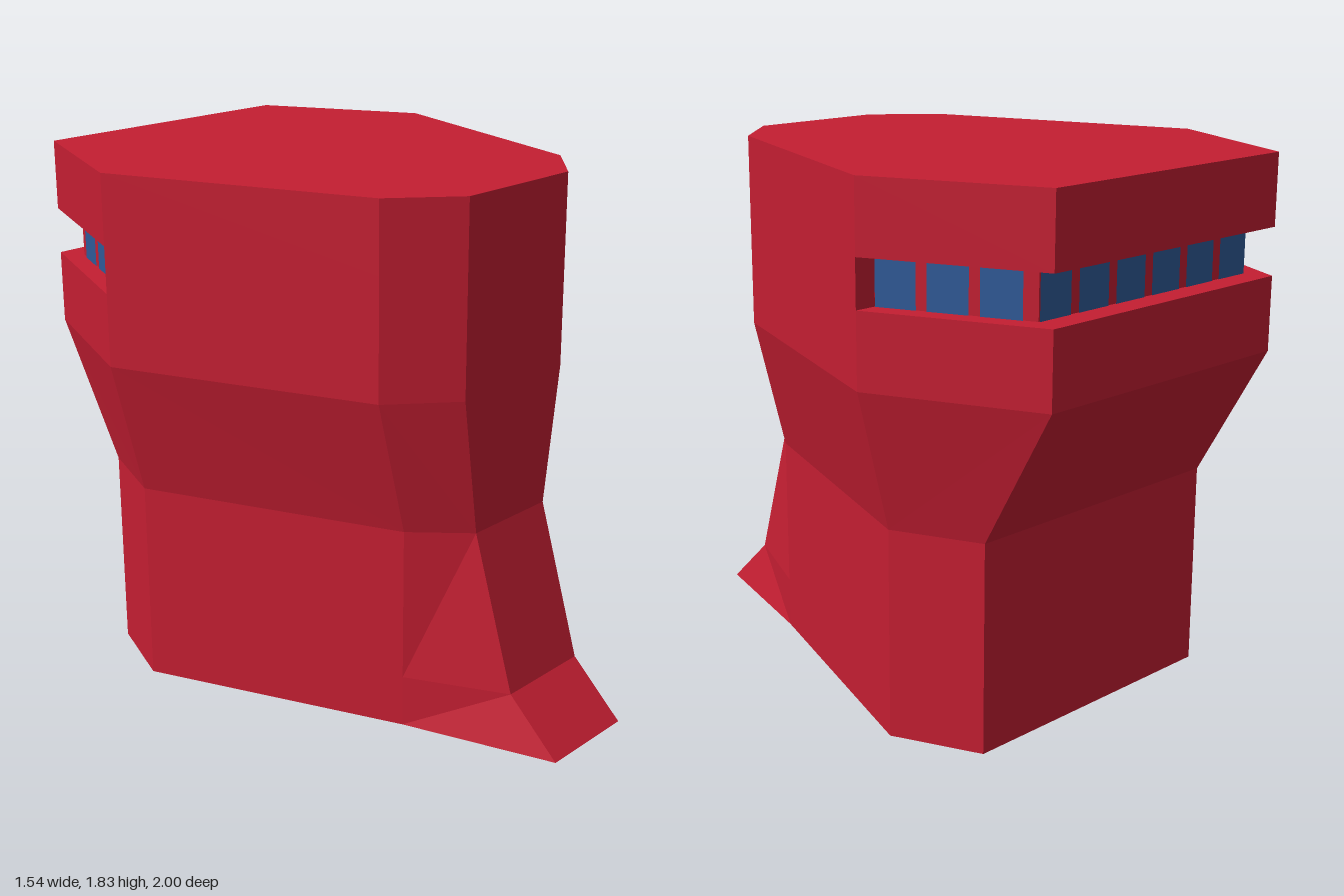
import * as THREE from 'three';

const red = new THREE.MeshStandardMaterial({ color: 0xc41e32, flatShading: true });
const blue = new THREE.MeshStandardMaterial({ color: 0x2f5a98 });

// Completes a half outline [x, z] (back to front) with its mirror image
const mirror = (half) => [...half, ...half.map(([x, z]) => [-x, z]).reverse()];

function addMesh(parent, name, geometry, material) {
  const mesh = new THREE.Mesh(geometry, material);
  mesh.name = name;
  parent.add(mesh);
  return mesh;
}

// Upright prism with the given outline between two heights
function prism(outline, y0, y1) {
  const shape = new THREE.Shape(outline.map(([x, z]) => new THREE.Vector2(x, z)));
  const geo = new THREE.ExtrudeGeometry(shape, { depth: y1 - y0, bevelEnabled: false });
  return geo.rotateX(Math.PI / 2).translate(0, y1, 0);
}

// Faceted skin through loops listed from top to bottom, closed underneath.
// flip is the one side of each band whose diagonal runs the other way.
function loft(levels) {
  const pos = [];
  const tri = (...pts) => pts.forEach((p) => pos.push(...p));
  const loops = levels.map(({ y, outline }) => outline.map(([x, z]) => [x, y, z]));
  for (let k = 0; k < loops.length - 1; k++) {
    const t = loops[k], b = loops[k + 1], n = t.length;
    for (let i = 0; i < n; i++) {
      const j = (i + 1) % n;
      if (i === levels[k].flip) {
        tri(b[j], b[i], t[i]);
        tri(b[j], t[i], t[j]);
      } else {
        tri(b[j], b[i], t[j]);
        tri(b[i], t[i], t[j]);
      }
    }
  }
  const base = loops[loops.length - 1];
  for (let i = 1; i < base.length - 1; i++) tri(base[0], base[i], base[i + 1]);
  const geo = new THREE.BufferGeometry();
  geo.setAttribute('position', new THREE.Float32BufferAttribute(pos, 3));
  geo.computeVertexNormals();
  return geo;
}

export function createModel() {
  const model = new THREE.Group();
  model.name = 'tower';

  const front = [[0.455, 0.47], [0.25, 0.65]];
  const upper = mirror([[0.52, -1], [0.77, -0.44], ...front]);
  const recessed = mirror([[0.485, -0.91], [0.695, -0.44], [0.77, -0.44], ...front]);
  // Lower outline; the front edge moves out to form the foot
  const lower = (toe) => mirror([[0.52, -0.735], [0.65, -0.44], [0.33, 0.47], [0.18, toe]]);

  // Upper block with the window slot cut around its back
  const slotLow = 1.43, slotHigh = 1.59;
  addMesh(model, 'roofBlock', prism(upper, slotHigh, 1.83), red);
  addMesh(model, 'windowBand', prism(recessed, slotLow, slotHigh), red);
  addMesh(model, 'upperBlock', prism(upper, 1.18, slotLow), red);

  // Tapered neck, lower block and flared foot
  addMesh(model, 'lowerBody', loft([
    { y: 1.18, outline: upper, flip: 0 },
    { y: 0.71, outline: lower(0.65), flip: 4 },
    { y: 0.18, outline: lower(0.81), flip: 4 },
    { y: 0, outline: lower(1) },
  ]), red);

  // Window panes, just proud of the recessed walls
  const windows = new THREE.Group();
  windows.name = 'windows';
  model.add(windows);
  const paneGeo = new THREE.PlaneGeometry(0.132, slotHigh - slotLow);
  const pitch = 0.167;
  const addPane = (name, x, z, angle) => {
    const pane = addMesh(windows, name, paneGeo, blue);
    pane.position.set(x + Math.sin(angle) * 0.004, (slotLow + slotHigh) / 2, z + Math.cos(angle) * 0.004);
    pane.rotation.y = angle;
  };
  for (let i = 0; i < 6; i++) addPane('backWindow', (i - 2.5) * pitch, -0.91, Math.PI);

  const wall = new THREE.Vector2(0.485 - 0.695, -0.91 + 0.44).normalize();
  for (const side of [1, -1]) {
    for (let i = 0; i < 3; i++) {
      const d = 0.068 + i * pitch;
      const angle = Math.atan2(-wall.y * side, wall.x);
      addPane(side > 0 ? 'leftWindow' : 'rightWindow', side * (0.695 + wall.x * d), -0.44 + wall.y * d, angle);
    }
  }
  return model;
}
